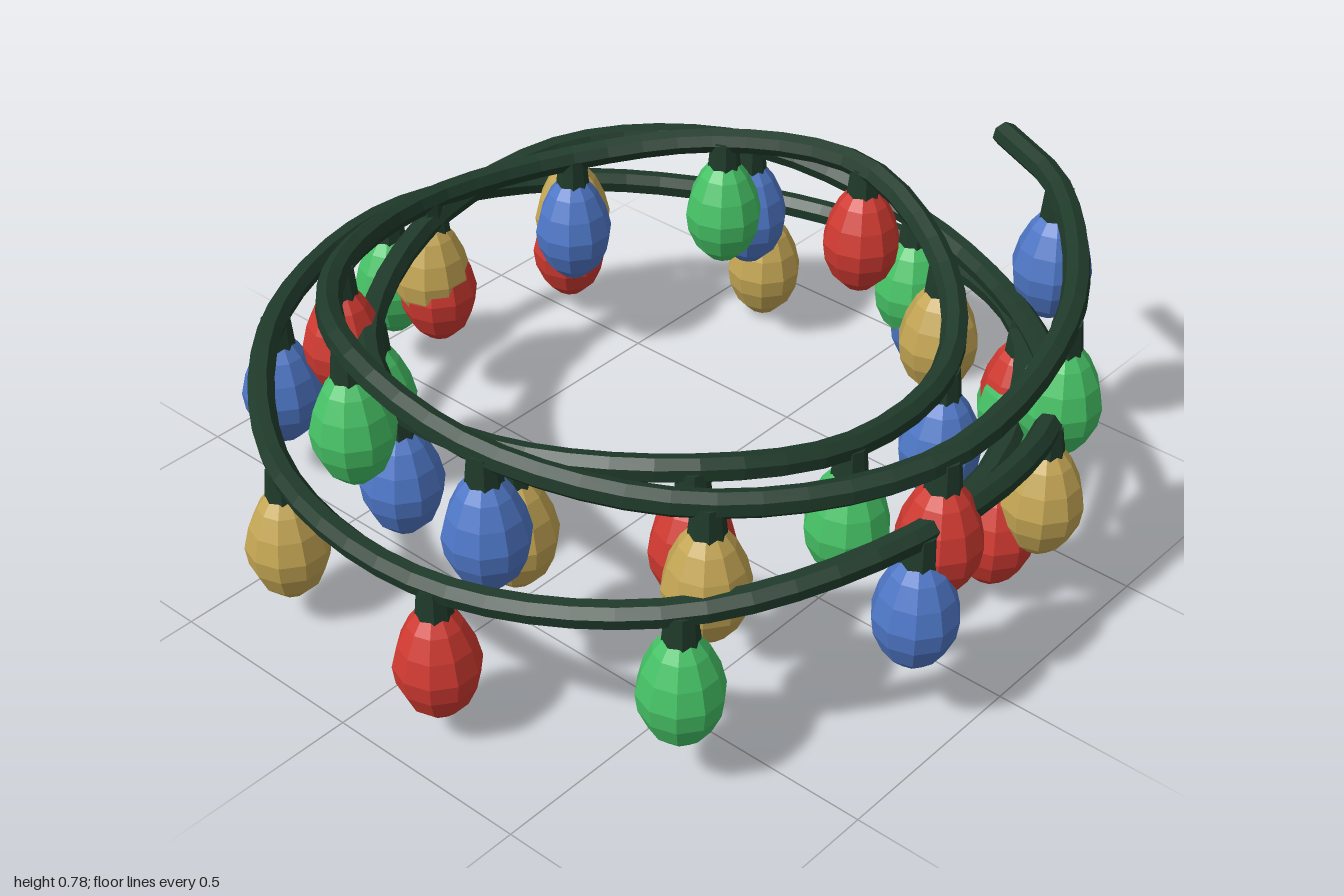
import * as THREE from 'three';

const mat = (name, color, flatShading = true) => {
  const m = new THREE.MeshStandardMaterial({ color, flatShading });
  m.name = name;
  return m;
};

// Where each bulb hangs on the wire, from the upper end to the lower end
const ANCHORS = [
  // upper coil
  [0.54, 0.75, -0.79], [0.84, 0.72, -0.38], [0.89, 0.66, 0.12], [0.63, 0.66, 0.55],
  [0.21, 0.69, 0.75], [-0.23, 0.72, 0.71], [-0.57, 0.65, 0.43], [-0.71, 0.59, 0.02],
  // inner coil
  [-0.59, 0.59, -0.36], [-0.31, 0.64, -0.61], [0.06, 0.67, -0.69], [0.40, 0.60, -0.55],
  [0.62, 0.56, -0.26], [0.64, 0.56, 0.10], [0.48, 0.60, 0.42], [0.15, 0.58, 0.61],
  [-0.22, 0.52, 0.59], [-0.53, 0.49, 0.38], [-0.70, 0.54, 0.01], [-0.65, 0.58, -0.42],
  // outer coil
  [-0.34, 0.56, -0.75], [0.10, 0.47, -0.86], [0.56, 0.46, -0.67], [0.87, 0.51, -0.30],
  [0.90, 0.52, 0.20], [0.65, 0.46, 0.65], [0.18, 0.41, 0.88], [-0.34, 0.42, 0.83],
  [-0.75, 0.46, 0.48], [-0.90, 0.46, -0.02], [-0.75, 0.40, -0.51], [-0.36, 0.35, -0.84],
  [0.14, 0.38, -0.88], [0.56, 0.43, -0.66], [0.78, 0.40, -0.26],
].map(p => new THREE.Vector3(...p));

const WIRE_R = 0.031;

export function createModel() {
  const group = new THREE.Group();
  const wireMat = mat('wire dark green', 0x1f3a2a);
  const bulbMats = [
    mat('bulb blue', 0x4f78c8), mat('bulb green', 0x46c266),
    mat('bulb red', 0xd03a31), mat('bulb yellow', 0xc4a654),
  ];

  // Coiled wire running through every anchor
  const start = new THREE.Vector3(0.30, 0.76, -0.91);
  const end = new THREE.Vector3(0.805, 0.38, -0.03);
  const path = new THREE.CatmullRomCurve3([start, ...ANCHORS, end]);
  const wire = new THREE.Mesh(new THREE.TubeGeometry(path, 180, WIRE_R, 7), wireMat);
  wire.name = 'wire';
  group.add(wire);

  // Flat caps closing the wire
  [0, 1].forEach(t => {
    const cap = new THREE.Mesh(new THREE.CircleGeometry(WIRE_R, 7), wireMat);
    const out = path.getTangentAt(t).multiplyScalar(t ? 1 : -1);
    cap.position.copy(path.getPointAt(t));
    cap.quaternion.setFromUnitVectors(new THREE.Vector3(0, 0, 1), out);
    cap.name = 'wireEnd';
    group.add(cap);
  });

  // Egg-shaped bulb, measured downward from the wire
  const profile = [
    [0, -0.34], [0.035, -0.328], [0.068, -0.295], [0.09, -0.245],
    [0.096, -0.2], [0.083, -0.145], [0.06, -0.095], [0.035, -0.062], [0, -0.055],
  ].map(p => new THREE.Vector2(...p));
  const bulbGeo = new THREE.LatheGeometry(profile, 10);
  const socketGeo = new THREE.CylinderGeometry(0.034, 0.042, 0.085, 8);
  socketGeo.translate(0, -0.04, 0);

  // Hanging lights, repeating the four colours
  ANCHORS.forEach((p, i) => {
    const light = new THREE.Group();
    light.name = 'light';
    const socket = new THREE.Mesh(socketGeo, wireMat);
    socket.name = 'socket';
    const bulb = new THREE.Mesh(bulbGeo, bulbMats[i % 4]);
    bulb.name = 'bulb';
    light.add(socket, bulb);
    light.position.copy(p);
    group.add(light);
  });

  return group;
}
